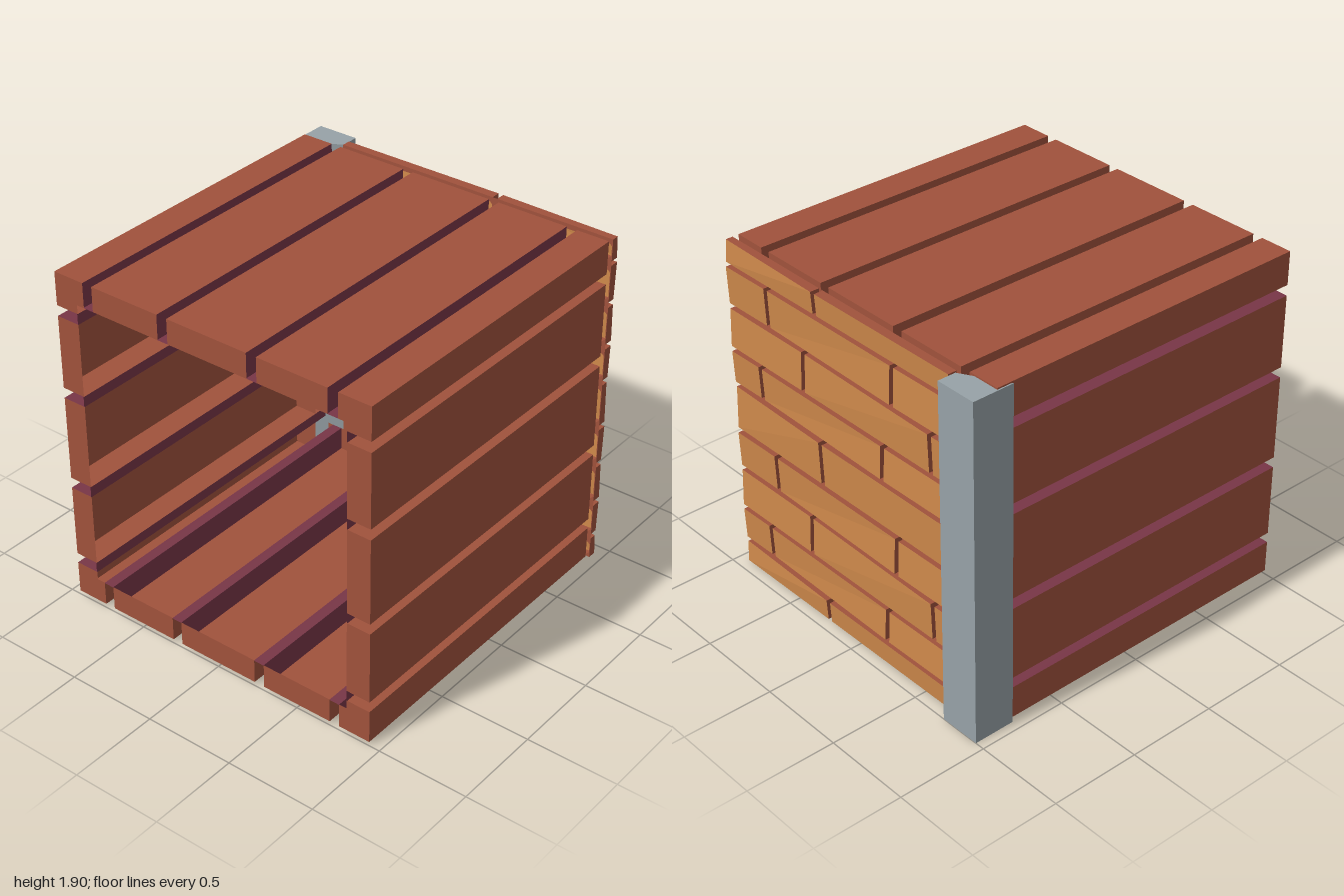
import * as THREE from 'three';

const paint = (name, color) => {
  const m = new THREE.MeshStandardMaterial({ color, side: THREE.DoubleSide, flatShading: true });
  m.name = name;
  return m;
};
const wood = paint('red brown wood', 0xa0523c);
const shade = paint('purple joint', 0x783647);
const brick = paint('orange brick', 0xcd884a);
const stone = paint('grey stone', 0x97a2a7);

// Box with one material per side (+x -x +y -y +z -z); null leaves that side open
function openBox(name, [x0, x1], [y0, y1], [z0, z1], sides) {
  const g = new THREE.BoxGeometry(x1 - x0, y1 - y0, z1 - z0);
  g.translate((x0 + x1) / 2, (y0 + y1) / 2, (z0 + z1) / 2);
  const old = Array.from(g.index.array), index = [], mats = [];
  g.clearGroups();
  sides.forEach((m, i) => {
    if (!m) return;
    g.addGroup(index.length, 6, mats.length);
    index.push(...old.slice(i * 6, i * 6 + 6));
    mats.push(m);
  });
  g.setIndex(index);
  const mesh = new THREE.Mesh(g, mats);
  mesh.name = name;
  return mesh;
}

const OUT = 0.94, IN = 0.805, BACK = -0.857;
const planks = [[-OUT, -0.76], [-0.702, -0.295], [-0.235, 0.237], [0.295, 0.698], [0.757, OUT]];

// One side of the crate, laid out as the top: planks open to the inside, joints closed by strips
function makeWall(name, hasPost) {
  const wall = new THREE.Group();
  wall.name = name;
  planks.forEach((p, i) => {
    const last = i === planks.length - 1;
    wall.add(openBox('plank', p, [IN, OUT], [BACK, 1],
      [last ? null : shade, i ? wood : null, wood, null, wood, wood]));
    if (!last) {
      wall.add(openBox('jointStrip', [p[1], planks[i + 1][0]], [IN, IN + 0.003], [BACK, 1],
        [null, null, shade, shade, null, null]));
    }
    // inner end panel in front of the post
    if (hasPost) wall.add(openBox('endPanel', p, [IN, OUT], [-0.765, -0.76], [null, null, null, null, wood, null]));
  });
  return wall;
}

// Brick courses: [bottom, top, joint start positions]
const A = [-0.325, 0.617], B = [-0.59, 0.352], C = [-0.237, 0.703], D = [0.236];
const courses = [
  [0, 0.12, D], [0.15, 0.33, C], [0.36, 0.57, B], [0.6, 0.8, A], [0.83, 1.07, D],
  [1.1, 1.28, C], [1.31, 1.52, B], [1.55, 1.755, A], [1.78, 1.9, D],
];

function makeBrickWall() {
  const group = new THREE.Group();
  group.name = 'brickWall';
  const x0 = -0.71, x1 = 0.943, joint = 0.028, zFront = -0.89, zBack = -0.93;
  const sheet = new THREE.Shape([[x0, 0], [x1, 0], [x1, 1.9], [x0, 1.9]].map(p => new THREE.Vector2(...p)));
  courses.forEach(([b, t, joints], row) => {
    const starts = [x0, ...joints.map(j => j + joint)], ends = [...joints, x1];
    starts.forEach((s, i) => {
      const e = ends[i];
      const m = openBox('brick', [s, e], [b, t], [zBack, zFront], [wood, wood, wood, wood, null, brick]);
      // slightly uneven outer faces
      const p = m.geometry.attributes.position;
      for (let k = 0; k < p.count; k++) {
        if (p.getZ(k) > -0.91) continue;
        const corner = (p.getX(k) > (s + e) / 2 ? 1 : 0) + (p.getY(k) > (b + t) / 2 ? 2 : 0);
        p.setZ(k, zBack - 0.004 * ((row * 2 + i + corner) % 4));
      }
      m.geometry.computeVertexNormals();
      group.add(m);
      // opening in the mortar sheet, with clipped corners
      const l = i ? s + 0.004 : s + 0.027, r = Math.min(e, x1 - 0.002) - 0.002;
      const lo = b + 0.004, hi = t - 0.028, c = 0.012;
      sheet.holes.push(new THREE.Path([
        [l + c, lo], [l, lo + c], [l, hi - c], [l + c, hi],
        [r - c, hi], [r, hi - c], [r, lo + 2 * c], [r - 2 * c, lo],
      ].map(q => new THREE.Vector2(...q))));
    });
  });
  const mortar = new THREE.Mesh(new THREE.ShapeGeometry(sheet), wood);
  mortar.name = 'mortarSheet';
  mortar.position.z = zFront;
  group.add(mortar);
  return group;
}

// Corner post with a slanted front
function makePost() {
  const outline = [[-0.947, 0.768], [-0.714, 0.9], [-0.714, 1], [-0.947, 1]];
  const g = new THREE.ExtrudeGeometry(new THREE.Shape(outline.map(p => new THREE.Vector2(...p))),
    { depth: 1.895, bevelEnabled: false });
  g.rotateX(-Math.PI / 2);
  const post = new THREE.Mesh(g, stone);
  post.name = 'cornerPost';
  return post;
}

export function createModel() {
  const model = new THREE.Group();
  model.name = 'plankCrate';
  ['topWall', 'leftWall', 'floor', 'rightWall'].forEach((name, k) => {
    const wall = makeWall(name, k === 3);
    wall.rotation.z = -k * Math.PI / 2;
    wall.position.y = 0.963;
    model.add(wall);
  });
  model.add(makeBrickWall(), makePost());
  return model;
}
